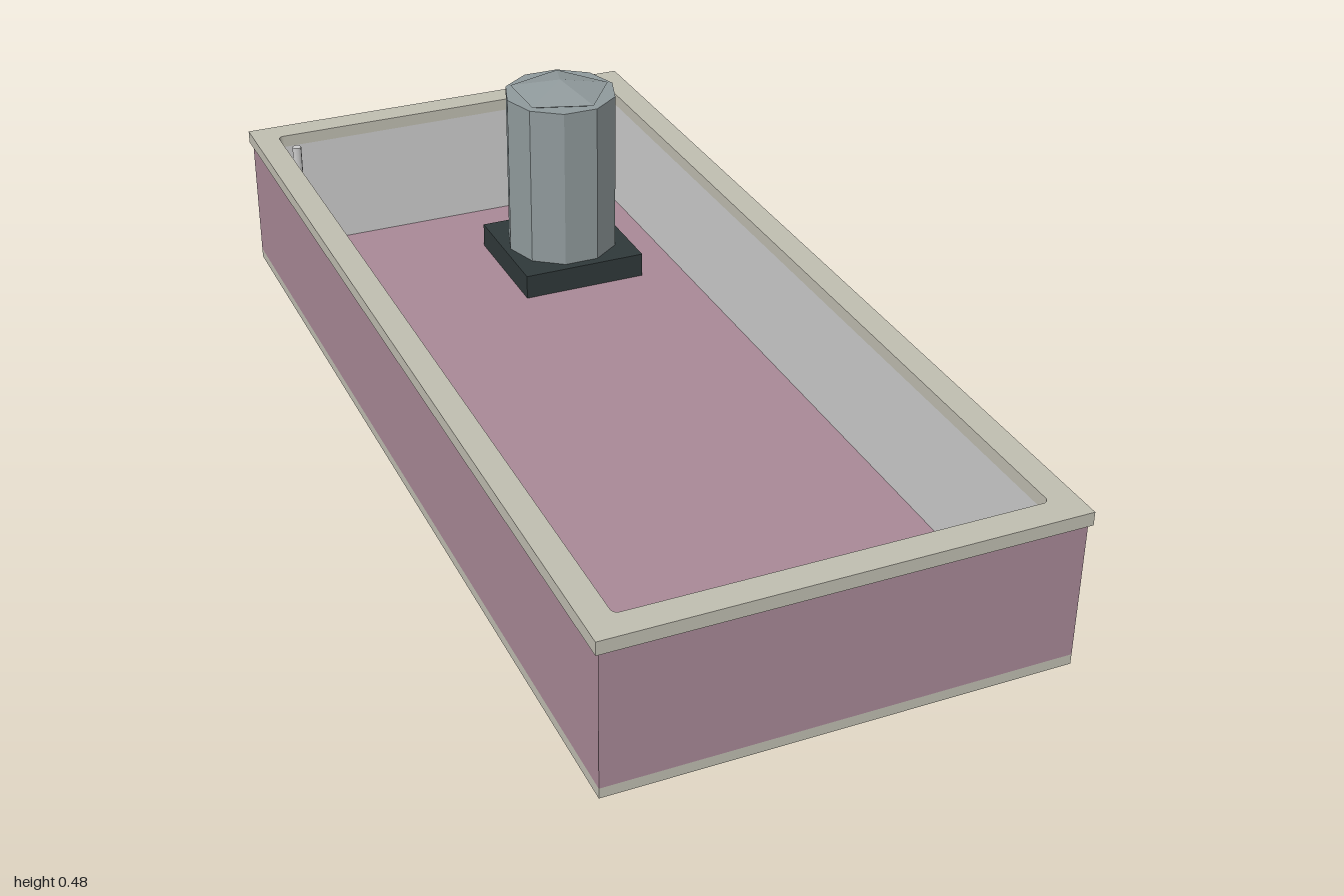
import * as THREE from 'three';

const mat = (color, flat = false) => new THREE.MeshStandardMaterial({ color, flatShading: flat });

export function createModel() {
  const model = new THREE.Group();
  const pink = mat(0xa88896), tan = mat(0xbfbdb0), grey = mat(0xcccccc);
  const steel = mat(0x8f999b, true), dark = mat(0x2f3839);

  const add = (name, geometry, material, x = 0, y = 0, z = 0) => {
    const mesh = new THREE.Mesh(geometry, material);
    mesh.name = name;
    mesh.position.set(x, y, z);
    model.add(mesh);
    return mesh;
  };

  // Rectangle outline with slightly rounded corners (half width w, half depth d)
  const outline = (path, w, d, r) => {
    if (!r) return path.moveTo(-w, -d).lineTo(w, -d).lineTo(w, d).lineTo(-w, d).closePath();
    return path.moveTo(-w + r, -d)
      .absarc(w - r, -d + r, r, -Math.PI / 2, 0)
      .absarc(w - r, d - r, r, 0, Math.PI / 2)
      .absarc(-w + r, d - r, r, Math.PI / 2, Math.PI)
      .absarc(-w + r, -d + r, r, Math.PI, Math.PI * 1.5);
  };

  // Rectangular ring standing between two heights
  const frame = (name, material, [w, d], [iw, id], y0, y1, r = 0) => {
    const shape = outline(new THREE.Shape(), w, d, 0);
    shape.holes.push(outline(new THREE.Path(), iw, id, r));
    const geo = new THREE.ExtrudeGeometry(shape, { depth: y1 - y0, bevelEnabled: false, curveSegments: 3 });
    geo.rotateX(-Math.PI / 2);
    return add(name, geo, material, 0, y0, 0);
  };

  // Basin
  add('base', new THREE.BoxGeometry(0.87, 0.02, 1.99), tan, 0, 0.01, 0);
  add('floor', new THREE.BoxGeometry(0.8, 0.02, 1.91), pink, 0, 0.03, 0);
  frame('outerWall', pink, [0.435, 0.995], [0.4, 0.955], 0.02, 0.286);
  frame('innerWall', grey, [0.4, 0.955], [0.39, 0.945], 0.03, 0.286);
  frame('rim', tan, [0.442, 1], [0.39, 0.945], 0.286, 0.312, 0.012);

  // Thin pipe in the back corner
  add('cornerPipe', new THREE.CylinderGeometry(0.01, 0.01, 0.255, 8), grey, -0.357, 0.1675, -0.915);

  // Square plinth with a ten-sided tower
  const tx = 0.161, tz = -0.64;
  add('towerPlinth', new THREE.BoxGeometry(0.272, 0.054, 0.272), dark, tx, 0.066, tz);
  add('tower', new THREE.CylinderGeometry(0.122, 0.122, 0.362, 10, 1, false, Math.PI / 2), steel, tx, 0.269, tz);

  // Low five-sided cap
  const capProfile = [[0.08, 0.44], [0.111, 0.4535], [0, 0.478]].map(([r, y]) => new THREE.Vector2(r, y));
  add('towerCap', new THREE.LatheGeometry(capProfile, 5, Math.PI / 2), steel, tx, 0, tz);

  return model;
}
